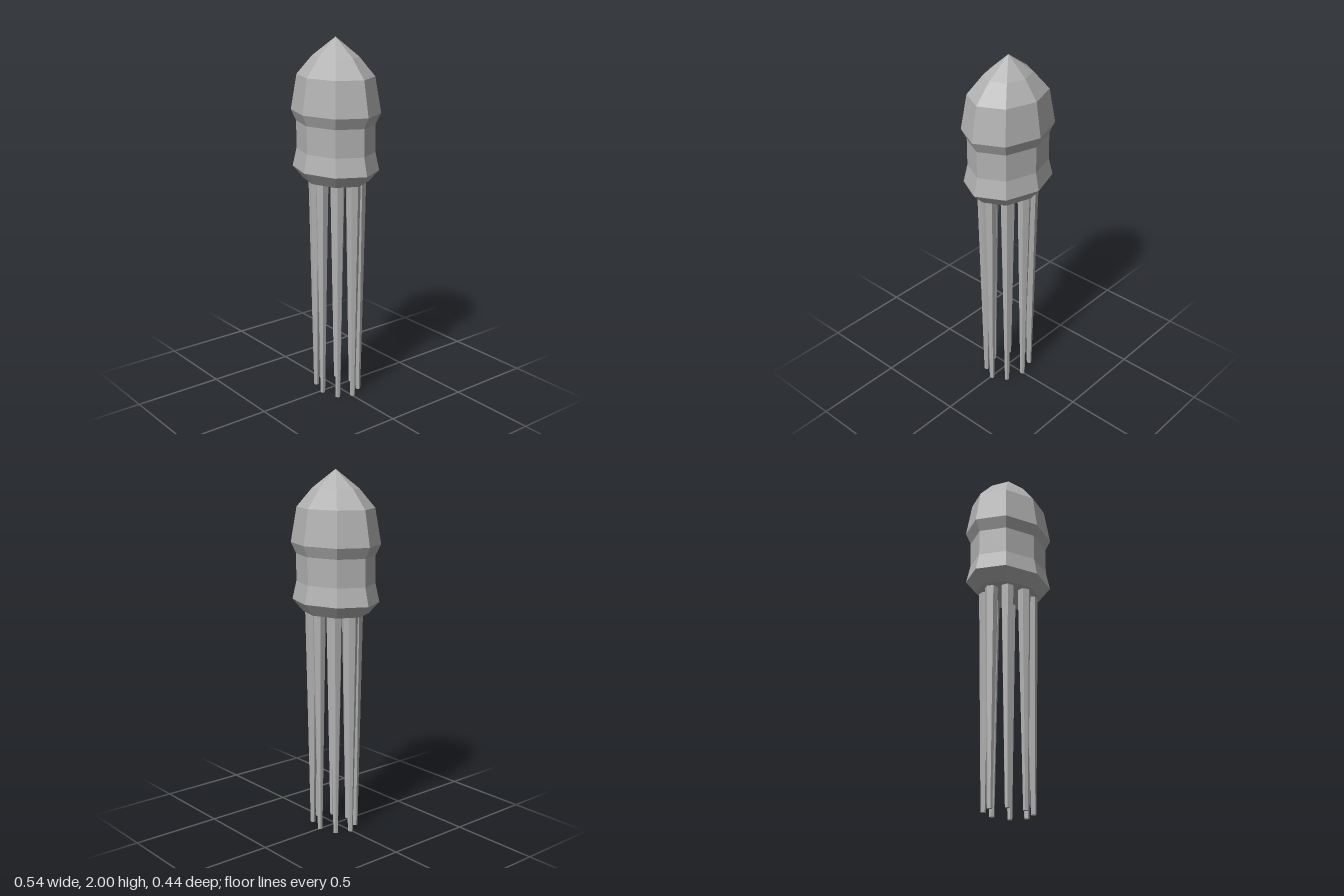
import * as THREE from 'three';

export function createModel() {
  const model = new THREE.Group();
  model.name = 'jellyfish';
  const grey = new THREE.MeshStandardMaterial({ color: 0xb2b2b2, flatShading: true });
  grey.name = 'grey';

  // Eight-sided bell, narrower front to back, closed underneath
  const profile = [
    [0, 1.235], [0.2, 1.235], [0.265, 1.3], [0.24, 1.4], [0.24, 1.55],
    [0.272, 1.61], [0.235, 1.8], [0.141, 1.9], [0, 2],
  ].map(([r, y]) => new THREE.Vector2(r, y));
  const bell = new THREE.Mesh(new THREE.LatheGeometry(profile, 8), grey);
  bell.name = 'bell';
  bell.scale.z = 0.8;
  model.add(bell);

  // Ring of eight straight tapering tentacles
  const height = 1.24;
  const tentacleGeometry = new THREE.CylinderGeometry(0.037, 0.014, height, 6);
  const tentacles = new THREE.Group();
  tentacles.name = 'tentacles';
  for (let i = 0; i < 8; i++) {
    const a = (i / 8) * Math.PI * 2;
    const tentacle = new THREE.Mesh(tentacleGeometry, grey);
    tentacle.name = `tentacle${i + 1}`;
    tentacle.position.set(
      0.008 + 0.142 * Math.sin(a) + 0.007 * Math.cos(a),
      height / 2,
      -0.005 + 0.109 * Math.cos(a),
    );
    tentacle.rotation.y = a;
    tentacles.add(tentacle);
  }
  model.add(tentacles);
  return model;
}
